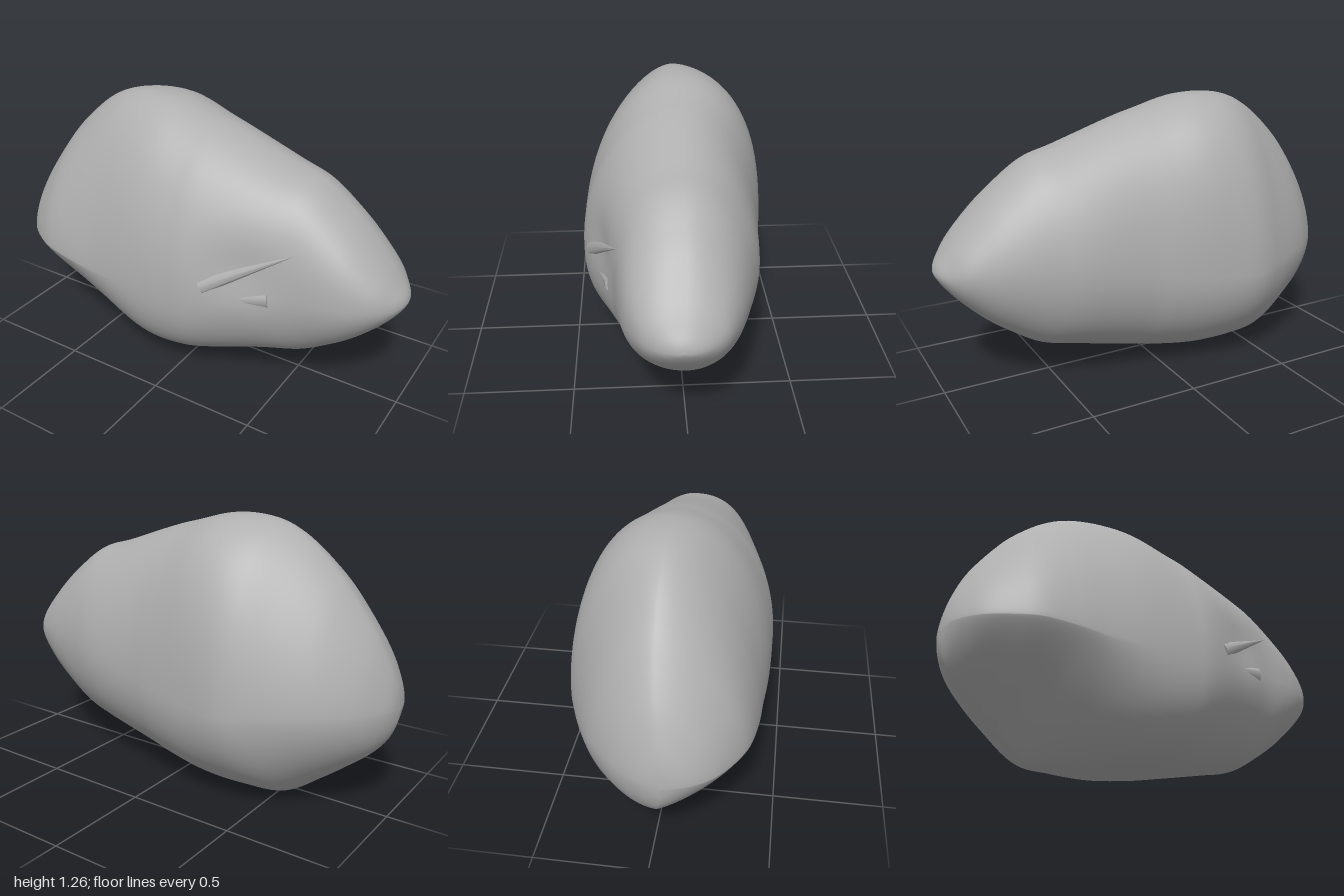
import * as THREE from 'three';
import { ParametricGeometry } from 'three/addons/geometries/ParametricGeometry.js';
import { mergeVertices } from 'three/addons/utils/BufferGeometryUtils.js';

// Stations along the boulder: x, top y, bottom y, front z, back z, y of widest line
const stations = [
  [-1.0, 0.48, 0.48, 0.06, 0.06, 0.48],
  [-0.99, 0.57, 0.41, 0.13, -0.01, 0.49],
  [-0.96, 0.67, 0.34, 0.2, -0.08, 0.49],
  [-0.9, 0.8, 0.27, 0.275, -0.17, 0.49],
  [-0.8, 0.95, 0.19, 0.345, -0.265, 0.49],
  [-0.7, 1.07, 0.115, 0.39, -0.33, 0.49],
  [-0.55, 1.195, 0.015, 0.415, -0.4, 0.48],
  [-0.4, 1.255, 0.01, 0.425, -0.445, 0.47],
  [-0.2, 1.26, 0.015, 0.44, -0.43, 0.48],
  [0.0, 1.21, 0.045, 0.445, -0.4, 0.5],
  [0.14, 1.17, 0.075, 0.435, -0.375, 0.53],
  [0.4, 1.08, 0.135, 0.36, -0.345, 0.57],
  [0.56, 1.03, 0.175, 0.305, -0.3, 0.58],
  [0.7, 0.93, 0.26, 0.28, -0.255, 0.58],
  [0.8, 0.84, 0.335, 0.255, -0.215, 0.58],
  [0.9, 0.73, 0.43, 0.205, -0.16, 0.58],
  [0.96, 0.65, 0.5, 0.14, -0.09, 0.57],
  [0.99, 0.605, 0.545, 0.08, -0.03, 0.57],
  [1.0, 0.57, 0.57, 0.03, 0.03, 0.57],
];

const spline = (a, b) => new THREE.CatmullRomCurve3(
  stations.map((s) => new THREE.Vector3(s[0], s[a], s[b])), false, 'catmullrom', 0.5);

// Roundness of a quarter section: 2 is an ellipse, 1 a straight facet
function roundness(x, upper, front) {
  const left = THREE.MathUtils.smoothstep(-x, 0.1, 0.6);
  const right = THREE.MathUtils.smoothstep(x, 0.1, 0.6);
  const bump = (centre) => Math.exp(-(((x - centre) / 0.25) ** 2));
  if (upper && front) return 2 - 0.4 * left + 0.35 * right;
  if (upper) return 2 - 0.4 * left - 0.15 * right + 0.4 * bump(-0.25);
  if (front) return 2 - 0.8 * left + 0.4 * bump(0.03);
  return 2 - 0.2 * left;
}

// Shallow hollow in the front face
const hollow = { x: 0.36, y: 0.68, rx: 0.15, ry: 0.14, depth: 0.025 };

function boulderGeometry() {
  const heights = spline(1, 2), depths = spline(3, 4), middles = spline(5, 5);
  const h = new THREE.Vector3(), d = new THREE.Vector3(), m = new THREE.Vector3();
  const surface = (u, v, p) => {
    heights.getPoint(u, h);
    depths.getPoint(u, d);
    middles.getPoint(u, m);
    const angle = v * Math.PI * 2, c = Math.cos(angle), s = Math.sin(angle);
    const power = 2 / roundness(h.x, s > 0, c > 0);
    const rise = Math.abs(s) ** power, reach = Math.abs(c) ** power;
    const y = m.y + rise * ((s > 0 ? h.y : h.z) - m.y);
    const seam = (h.x < 0 ? 0.06 : 0.03) * Math.abs(h.x) ** 10;
    let z = seam + reach * ((c > 0 ? d.y : d.z) - seam);
    if (c > 0) {
      const dx = (h.x - hollow.x) / hollow.rx, dy = (y - hollow.y) / hollow.ry;
      z -= c * hollow.depth * Math.exp(-dx * dx - dy * dy);
    }
    p.set(h.x, y, z);
  };
  // Weld the seam and the tips, then shade smoothly
  const geometry = new ParametricGeometry(surface, 108, 96);
  geometry.deleteAttribute('normal');
  geometry.deleteAttribute('uv');
  const welded = mergeVertices(geometry, 1e-5);
  welded.computeVertexNormals();
  return welded;
}

// A thin splinter of rock lying between two points
function splinter(material, from, to, width, depth) {
  const a = new THREE.Vector3(...from), b = new THREE.Vector3(...to);
  const mesh = new THREE.Mesh(new THREE.ConeGeometry(1, 1, 8), material);
  mesh.name = 'rockSplinter';
  mesh.scale.set(width, a.distanceTo(b), depth);
  mesh.position.copy(a).add(b).multiplyScalar(0.5);
  mesh.quaternion.setFromUnitVectors(new THREE.Vector3(0, 1, 0), b.sub(a).normalize());
  return mesh;
}

export function createModel() {
  const stone = new THREE.MeshStandardMaterial({ color: 0xb0b0b0 });
  stone.name = 'grey stone';

  const group = new THREE.Group();
  group.name = 'boulder';

  const body = new THREE.Mesh(boulderGeometry(), stone);
  body.name = 'boulderBody';
  group.add(body);

  // Two splinters in the front hollow
  group.add(splinter(stone, [0.19, 0.58, 0.4], [0.58, 0.79, 0.28], 0.04, 0.025));
  group.add(splinter(stone, [0.48, 0.55, 0.315], [0.18, 0.51, 0.4], 0.04, 0.02));
  return group;
}
